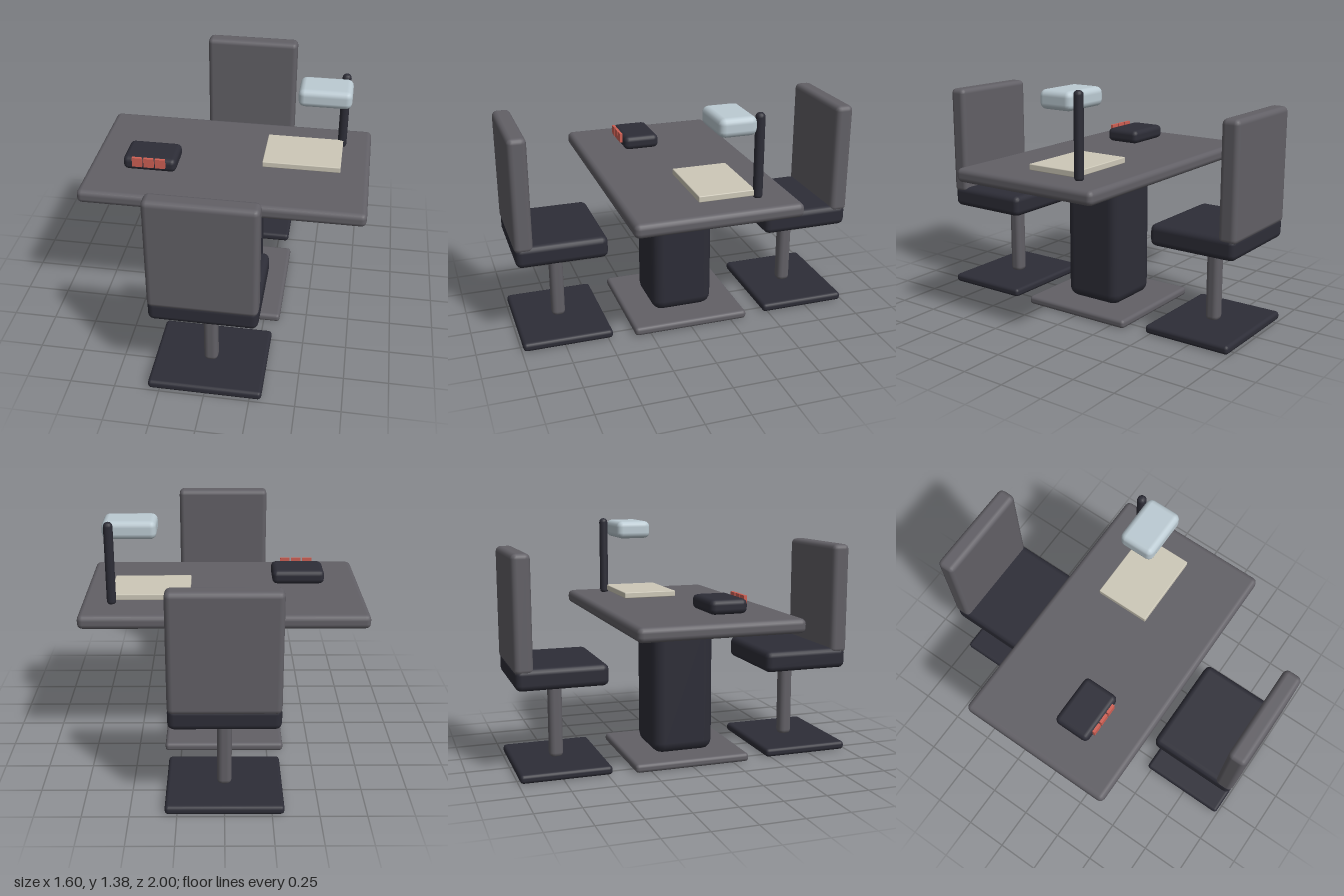
import * as THREE from 'three';
import { RoundedBoxGeometry } from 'three/addons/geometries/RoundedBoxGeometry.js';

const material = (name, color) => {
  const m = new THREE.MeshStandardMaterial({ color });
  m.name = name;
  return m;
};

export function createModel() {
  const grey = material('warm grey', 0x626066);
  const dark = material('dark slate', 0x2d2d37);
  const cream = material('cream', 0xcdc8b8);
  const pale = material('pale blue', 0xbccbd3);
  const red = material('coral red', 0xcf6054);

  // Rounded block given by its ranges [min, max] on each axis
  const block = (parent, name, mat, x, y, z, radius) => {
    const size = [x, y, z].map(([a, b]) => b - a);
    const mesh = new THREE.Mesh(new RoundedBoxGeometry(...size, 2, radius), mat);
    mesh.position.set((x[0] + x[1]) / 2, (y[0] + y[1]) / 2, (z[0] + z[1]) / 2);
    mesh.name = name;
    parent.add(mesh);
    return mesh;
  };
  const group = (parent, name) => {
    const g = new THREE.Group();
    g.name = name;
    parent.add(g);
    return g;
  };

  const model = new THREE.Group();
  model.name = 'deskWithChairs';

  // Table on a central pedestal
  const table = group(model, 'table');
  block(table, 'tableTop', grey, [-0.8, 0.8], [0.83, 0.91], [-0.465, 0.465], 0.03);
  block(table, 'pedestal', dark, [-0.185, 0.185], [0.04, 0.84], [-0.185, 0.185], 0.065);
  block(table, 'tableBase', grey, [-0.345, 0.345], [0, 0.05], [-0.345, 0.345], 0.02);

  // Two facing chairs
  for (const [name, turn] of [['frontChair', 0], ['backChair', Math.PI]]) {
    const chair = group(model, name);
    block(chair, 'chairBase', dark, [-0.315, 0.315], [0, 0.05], [0.47, 0.99], 0.02);
    block(chair, 'chairStem', grey, [-0.04, 0.04], [0.04, 0.52], [0.69, 0.77], 0.03);
    block(chair, 'seat', dark, [-0.29, 0.29], [0.505, 0.63], [0.475, 0.995], 0.035);
    block(chair, 'backrest', grey, [-0.29, 0.29], [0.595, 1.25], [0.895, 1], 0.03);
    chair.rotation.y = turn;
  }

  // Desk lamp
  const lamp = group(model, 'lamp');
  block(lamp, 'lampPole', dark, [0.602, 0.654], [0.9, 1.38], [-0.288, -0.236], 0.025);
  block(lamp, 'lampHead', pale, [0.37, 0.67], [1.265, 1.37], [-0.237, -0.027], 0.035);

  // Writing pad
  block(model, 'writingPad', cream, [0.19, 0.635], [0.92, 0.955], [-0.248, 0.072], 0.005);

  // Desk console with three buttons
  const desktop = group(model, 'console');
  block(desktop, 'consoleBody', dark, [-0.59, -0.285], [0.918, 1], [0.002, 0.217], 0.03);
  for (let i = 0; i < 3; i++) {
    const button = new THREE.Mesh(new THREE.BoxGeometry(0.057, 0.056, 0.016), red);
    button.position.set(-0.503 + i * 0.066, 0.982, 0.224);
    button.name = 'button';
    desktop.add(button);
  }
  return model;
}
